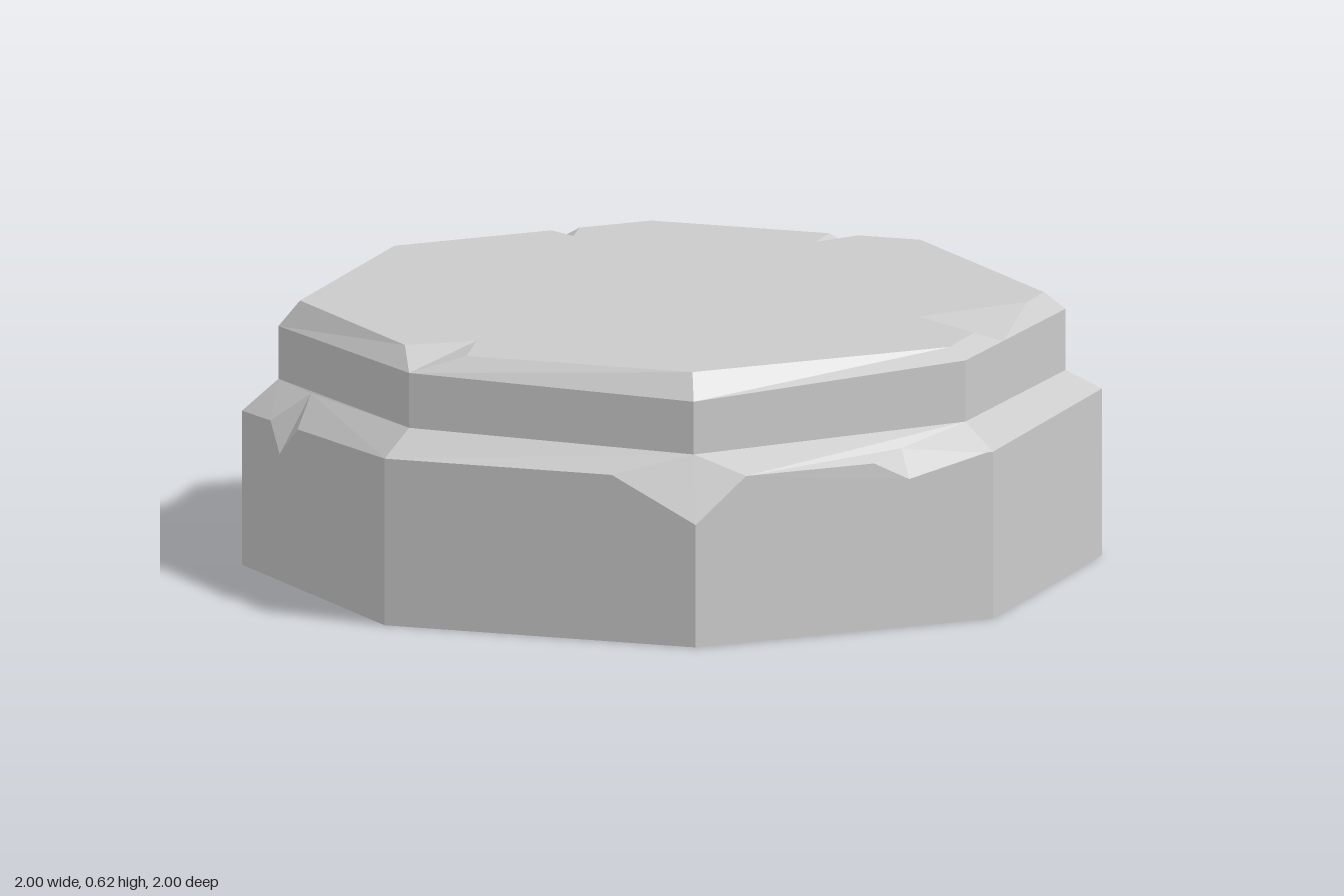
import * as THREE from 'three';

const SIDES = 8;
const V = (x, y, z) => new THREE.Vector3(x, y, z);

// A level line around the octagon; chips replace stretches of it.
// Each chip runs from a to b (in corners), bites down to tip and in to inner.
function makeLine(r, heights, chips = []) {
  const corner = (i) => {
    const k = i % SIDES, a = (k / SIDES) * Math.PI * 2;
    return V(Math.cos(a) * r, heights[k % heights.length], Math.sin(a) * r);
  };
  const at = (u) => corner(Math.floor(u)).lerp(corner(Math.floor(u) + 1), u - Math.floor(u));
  const cuts = chips.map(([a, b, tip, inner]) => ({
    a, b, tip: V(...tip), inner: V(...inner), pa: at(a), pb: at(b),
  }));
  const atCorner = (i) => cuts.find((c) => c.a < i && c.b > i);

  // Points along one side, as seen by the face under ('tip') or over ('inner') the line
  const side = (i, key) => {
    const start = atCorner(i), end = atCorner(i + 1);
    const pts = start ? [start[key], start.pb] : [corner(i)];
    for (const c of cuts) if (c.a >= i && c.b <= i + 1) pts.push(c.pa, c[key], c.pb);
    return pts.concat(end ? [end.pa, end[key]] : [corner(i + 1)]);
  };
  return { side, cuts };
}

// Triangulates a nearly flat polygon, corners counter-clockwise from outside
function addFace(out, points) {
  const pts = points.filter((p, i) => p.distanceTo(points[(i + 1) % points.length]) > 0.004);
  const n = V(0, 0, 0);
  pts.forEach((p, i) => n.add(p.clone().cross(pts[(i + 1) % pts.length])));
  n.normalize();
  const u = (Math.abs(n.y) > 0.9 ? V(1, 0, 0) : V(0, 1, 0)).cross(n).normalize();
  const v = n.clone().cross(u);
  const flat = pts.map((p) => new THREE.Vector2(p.dot(u), p.dot(v)));
  for (const tri of THREE.ShapeUtils.triangulateShape(flat, []))
    for (const k of tri) out.push(...pts[k].toArray());
}

// Faces between two lines
function addBand(out, low, high) {
  for (let i = 0; i < SIDES; i++)
    addFace(out, [...low.side(i, 'inner').reverse(), ...high.side(i, 'tip')]);
}

// Closed cap filling a line
function addCap(out, line, up) {
  const pts = [];
  for (let i = 0; i < SIDES; i++) pts.push(...line.side(i, 'inner').slice(0, -1));
  addFace(out, up ? pts.reverse() : pts);
}

// Two slanted facets inside every chip
function addChips(out, line) {
  for (const c of line.cuts) {
    addFace(out, [c.pa, c.inner, c.tip]);
    addFace(out, [c.inner, c.pb, c.tip]);
  }
}

function makeMesh(name, build) {
  const out = [];
  build(out);
  const geo = new THREE.BufferGeometry();
  geo.setAttribute('position', new THREE.Float32BufferAttribute(out, 3));
  geo.computeVertexNormals();
  const mesh = new THREE.Mesh(geo, new THREE.MeshStandardMaterial({ color: 0xcccccc, flatShading: true }));
  mesh.name = name;
  return mesh;
}

export function createModel() {
  const foot = makeLine(1, [0]);
  const lowerEdge = makeLine(1, [0.395, 0.395, 0.395, 0.365, 0.395, 0.395, 0.365, 0.395], [
    [0.02, 0.4, [0.918, 0.35, 0.2], [0.885, 0.417, 0.19]],
    [0.83, 1.27, [0.707, 0.29, 0.707], [0.647, 0.44, 0.647]],
    [2.61, 2.8, [-0.52, 0.3, 0.785], [-0.48, 0.44, 0.72]],
    [4.83, 5.27, [-0.707, 0.29, -0.707], [-0.647, 0.44, -0.647]],
    [6.48, 6.72, [0.43, 0.32, -0.822], [0.41, 0.44, -0.755]],
  ]);
  const step = makeLine(0.915, [0.455, 0.44]);
  const upperEdge = makeLine(0.915, [0.6, 0.565, 0.585, 0.565, 0.585, 0.585, 0.585, 0.585], [
    [3.69, 3.85, [-0.845, 0.49, 0.17], [-0.805, 0.62, 0.16]],
  ]);
  const rim = makeLine(0.865, [0.625], [
    [1.84, 2.15, [0, 0.585, 0.915], [0, 0.625, 0.68]],
    [4.61, 4.72, [-0.74, 0.588, -0.41], [-0.63, 0.625, -0.36]],
    [5.66, 5.77, [-0.18, 0.588, -0.835], [-0.165, 0.625, -0.685]],
    [7.18, 7.74, [0.808, 0.592, -0.25], [0.58, 0.625, -0.21]],
  ]);

  const group = new THREE.Group();
  group.name = 'stonePedestal';

  // Wide lower block with its sloping shoulder
  group.add(makeMesh('lowerBlock', (out) => {
    addCap(out, foot, false);
    addBand(out, foot, lowerEdge);
    addBand(out, lowerEdge, step);
    addChips(out, lowerEdge);
  }));

  // Narrower upper slab with bevelled rim and flat top
  group.add(makeMesh('upperSlab', (out) => {
    addBand(out, step, upperEdge);
    addBand(out, upperEdge, rim);
    addChips(out, upperEdge);
    addChips(out, rim);
    addCap(out, rim, true);
  }));
  return group;
}
